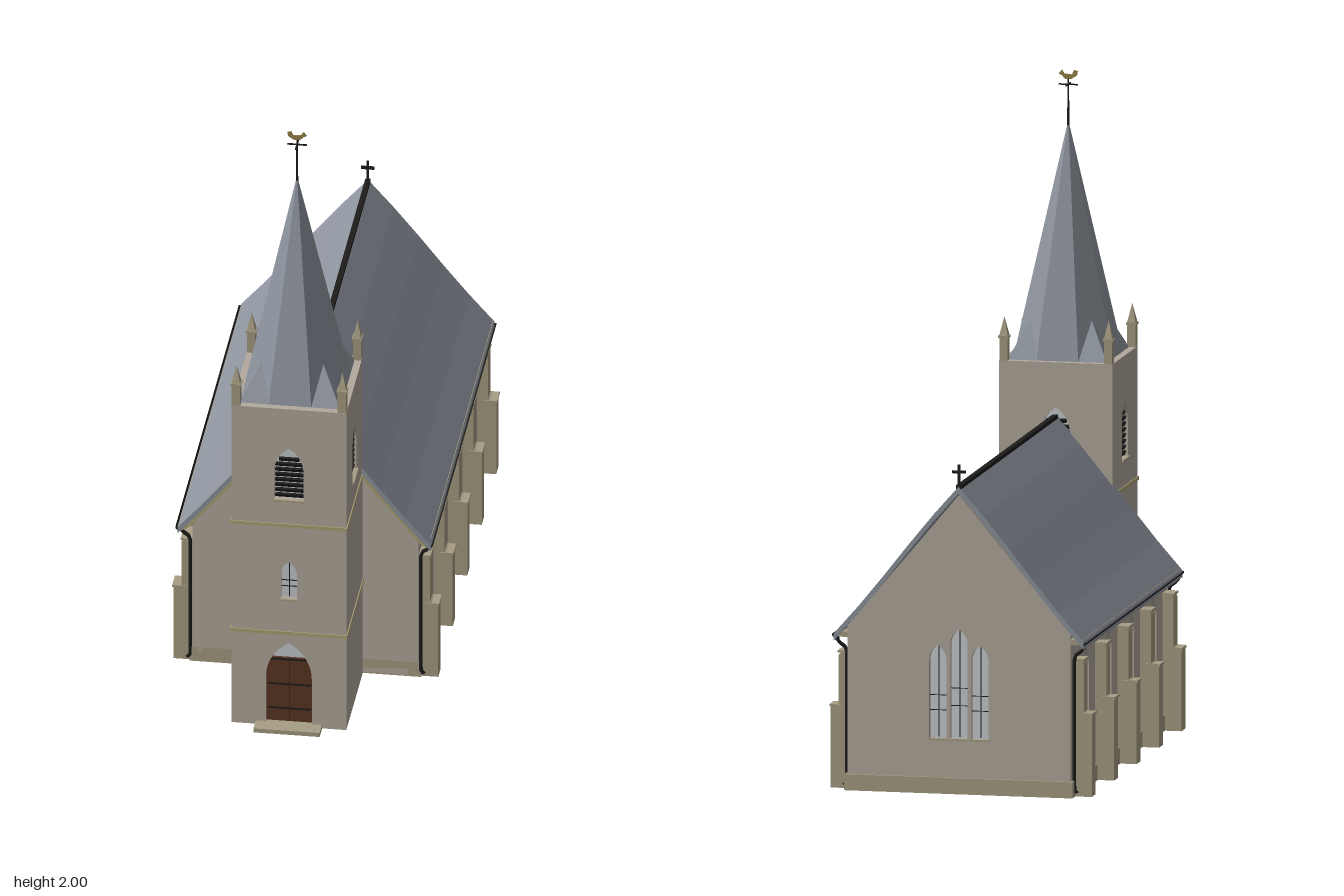
import * as THREE from 'three';

const mat = (color) => new THREE.MeshStandardMaterial({ color, side: THREE.DoubleSide });
const M = {
  wall: mat(0xb3aa9d), trim: mat(0xa79e84), band: mat(0xaea576), roof: mat(0x8f959f),
  glass: mat(0xc9ced2), dark: mat(0x1d1c1b), door: mat(0x5b3622), floor: mat(0x3a3430), gold: mat(0x9a8348),
};
const TZ = 0.6565, TW = 0.178;              // tower centre and half width
const ZF = 0.475, ZB = -0.88, HW = 0.35;    // nave front, back, half width
const ZC = (ZF + ZB) / 2, NL = ZF - ZB;

function add(parent, name, geo, material, x = 0, y = 0, z = 0) {
  const m = new THREE.Mesh(geo, material);
  m.name = name;
  m.position.set(x, y, z);
  parent.add(m);
  return m;
}
const box = (p, name, material, w, h, d, x, y, z) =>
  add(p, name, new THREE.BoxGeometry(w, h, d), material, x, y, z);

const poly = (pts) => new THREE.Shape(pts.map(([x, y]) => new THREE.Vector2(x, y)));
const extrude = (shape, depth) =>
  new THREE.ExtrudeGeometry(shape, { depth, bevelEnabled: false, curveSegments: 6 });

// Equilateral pointed arch
function lancet(x, w, y0, y1, C = THREE.Shape) {
  const s = new C(), ys = y1 - w * 0.866;
  s.moveTo(x - w / 2, y0);
  s.lineTo(x + w / 2, y0);
  s.lineTo(x + w / 2, ys);
  s.absarc(x - w / 2, ys, w, 0, Math.PI / 3, false);
  s.absarc(x + w / 2, ys, w, Math.PI * 2 / 3, Math.PI, false);
  s.closePath();
  return s;
}

// Wall whose outer face is local z = 0, with filled lancet openings
function face(parent, name, outline, openings, x, z, turn) {
  const g = new THREE.Group();
  g.name = name;
  g.position.set(x, 0, z);
  g.rotation.y = turn;
  parent.add(g);
  const s = poly(outline);
  for (const o of openings) s.holes.push(lancet(o.x, o.w, o.y0, o.y1, THREE.Path));
  add(g, 'wall', extrude(s, 0.03), M.wall, 0, 0, -0.03);
  for (const o of openings) {
    const h = o.y1 - o.y0;
    add(g, 'openingPane', new THREE.ShapeGeometry(lancet(o.x, o.w, o.y0, o.y1), 6), M.glass, 0, 0, -0.016);
    if (o.kind === 'louvre') {
      for (let i = 0; i < 8; i++) {
        const y = o.y0 + 0.012 + i * 0.018;
        box(g, 'louvre', M.dark, o.w * (i > 6 ? 0.7 : 0.96), 0.011, 0.008, o.x, y, -0.011).rotation.x = 0.4;
      }
    } else if (o.kind === 'door') {
      box(g, 'doorLeaf', M.door, o.w, 0.225, 0.008, o.x, 0.125, -0.014);
      for (const y of [0.06, 0.145, 0.232]) box(g, 'hinge', M.dark, o.w * 0.95, 0.005, 0.004, o.x, y, -0.009);
      box(g, 'doorSeam', M.dark, 0.002, 0.22, 0.004, o.x, 0.125, -0.009);
    } else {
      box(g, 'mullion', M.dark, 0.002, h * 0.97, 0.003, o.x, o.y0 + h / 2, -0.014);
      for (const t of [0.3, 0.46]) box(g, 'glazingBar', M.dark, o.w, 0.002, 0.003, o.x, o.y0 + h * t, -0.014);
    }
    if (o.kind !== 'door') box(g, 'sill', M.trim, o.w + 0.008, 0.006, 0.012, o.x, o.y0 - 0.002, 0);
  }
  return g;
}

// Octagonal spire with pyramidal corner broaches
function spireGeometry() {
  const r = 0.156, s = 0.066, y0 = 1.12, top = [0, 1.845, 0], p = [];
  for (let k = 0; k < 4; k++) {
    const c = Math.round(Math.cos(k * Math.PI / 2)), n = Math.round(Math.sin(k * Math.PI / 2));
    const at = (x, y, z) => [x * c + z * n, y, -x * n + z * c];
    const a = at(-s, y0, r), b = at(s, y0, r), corner = at(r, y0, r), d = at(r, y0, s), peak = at(0.095, 1.24, 0.095);
    p.push(a, b, top, b, d, top, b, corner, peak, corner, d, peak);
  }
  const g = new THREE.BufferGeometry();
  g.setAttribute('position', new THREE.Float32BufferAttribute(p.flat(), 3));
  g.computeVertexNormals();
  return g;
}

function buildTower(root) {
  const t = new THREE.Group();
  t.name = 'tower';
  root.add(t);
  const rect = [[-TW, 0.002], [TW, 0.002], [TW, 1.12], [-TW, 1.12]];
  const bell = { x: 0, w: 0.09, y0: 0.8, y1: 0.98, kind: 'louvre' };
  face(t, 'towerFront', rect, [bell, { x: 0, w: 0.05, y0: 0.45, y1: 0.58 },
    { x: 0, w: 0.142, y0: 0.012, y1: 0.295, kind: 'door' }], 0, TZ + TW, 0);
  face(t, 'towerLeft', rect, [bell], TW, TZ, Math.PI / 2);
  face(t, 'towerRight', rect, [bell], -TW, TZ, -Math.PI / 2);
  face(t, 'towerBack', rect, [bell], 0, TZ - TW, Math.PI);
  box(t, 'towerTop', M.trim, 0.35, 0.02, 0.35, 0, 1.109, TZ);
  box(t, 'towerFloor', M.floor, 0.3, 0.012, 0.3, 0, 0.006, TZ);
  box(t, 'doorStep', M.trim, 0.205, 0.014, 0.075, 0, 0.007, 0.8475);
  for (const y of [0.33, 0.71]) box(t, 'stringCourse', M.band, 0.362, 0.012, 0.362, 0, y, TZ);

  // Corner pinnacles
  for (const sx of [-1, 1]) for (const sz of [-1, 1]) {
    const x = sx * 0.164, z = TZ + sz * 0.164;
    box(t, 'pinnacleShaft', M.trim, 0.026, 0.085, 0.026, x, 1.1525, z);
    box(t, 'pinnacleCollar', M.trim, 0.032, 0.008, 0.032, x, 1.193, z);
    const c = new THREE.ConeGeometry(0.019, 0.06, 4).toNonIndexed();
    c.computeVertexNormals();
    add(t, 'pinnacleTip', c, M.trim, x, 1.226, z).rotation.y = Math.PI / 4;
  }
  add(t, 'spire', spireGeometry(), M.roof, 0, 0, TZ);

  // Finial with cross arms and weather vane
  add(t, 'finialRod', new THREE.CylinderGeometry(0.002, 0.004, 0.16, 8), M.dark, 0, 1.905, TZ);
  box(t, 'finialArm', M.dark, 0.06, 0.004, 0.004, 0, 1.955, TZ);
  box(t, 'finialArm', M.dark, 0.004, 0.004, 0.06, 0, 1.955, TZ);
  const vane = poly([[-0.03, 1.997], [-0.027, 1.983], [-0.01, 1.972], [0.01, 1.972], [0.02, 1.983],
    [0.03, 1.987], [0.02, 2], [0.012, 1.988], [-0.012, 1.986], [-0.018, 2]]);
  add(t, 'weatherVane', extrude(vane, 0.004), M.gold, 0, 0, TZ - 0.002);
}

function buildNave(root) {
  const n = new THREE.Group();
  n.name = 'nave';
  root.add(n);
  const gable = [[-HW, 0.004], [HW, 0.004], [HW, 0.51], [0, 0.928], [-HW, 0.51]];
  const side = [[-NL / 2, 0.004], [NL / 2, 0.004], [NL / 2, 0.51], [-NL / 2, 0.51]];
  face(n, 'frontGable', gable, [], 0, ZF, 0);
  face(n, 'backGable', gable, [-1, 0, 1].map((i) =>
    ({ x: i * 0.066, w: 0.054, y0: 0.17, y1: i ? 0.46 : 0.51 })), 0, ZB, Math.PI);
  for (const s of [-1, 1]) {
    const windows = [0.285, -0.03, -0.345, -0.66].map((z) =>
      ({ x: -s * (z - ZC), w: 0.085, y0: 0.16, y1: 0.44 }));
    face(n, 'sideWall', side, windows, s * HW, ZC, s * Math.PI / 2);
  }

  // Plinth frame around a dark floor
  for (const s of [-1, 1]) box(n, 'plinth', M.trim, 0.04, 0.05, NL + 0.008, s * 0.338, 0.025, ZC - 0.004);
  box(n, 'plinth', M.trim, 0.716, 0.05, 0.04, 0, 0.025, ZB + 0.012);
  box(n, 'plinth', M.trim, 0.7, 0.05, 0.04, 0, 0.025, ZF - 0.02);
  box(n, 'floor', M.floor, 0.66, 0.02, NL - 0.04, 0, 0.014, ZC);

  // Stepped buttresses with sloping heads
  const profile = poly([[0.34, 0], [0.41, 0], [0.41, 0.25], [0.385, 0.262], [0.385, 0.412], [0.375, 0.425], [0.34, 0.425]]);
  for (const z of [0.44, 0.125, -0.19, -0.505, -0.82]) for (const s of [0, 1]) {
    const b = add(n, 'buttress', extrude(profile, 0.054), M.trim, 0, 0, z + (s ? 0.027 : -0.027));
    b.rotation.y = s * Math.PI;
    for (const [x, y] of [[0.39, 0.256], [0.364, 0.424]])
      box(n, 'buttressCap', M.trim, 0.046, 0.007, 0.06, s ? -x : x, y, z);
  }

  // Gently faceted roof
  const outer = [], N = 5;
  for (let i = -N; i <= N; i++) {
    const t = Math.abs(i) / N;
    outer.push([i / N * 0.392, 0.955 - 0.47 * t + 0.005 * Math.sin(t * Math.PI * 2)]);
  }
  const inner = outer.map(([x, y]) => [x, y - 0.022]).reverse();
  add(n, 'roof', extrude(poly([...outer, ...inner]), 1.39), M.roof, 0, 0, -0.885);
  box(n, 'ridge', M.dark, 0.016, 0.012, 1.36, 0, 0.953, -0.205);

  // Verge boards, gutters and downpipes
  for (const s of [-1, 1]) {
    const board = poly([[s * 0.385, 0.47], [s * 0.36, 0.482], [0, 0.912], [0, 0.935]]);
    add(n, 'vergeBoard', extrude(board, 0.02), M.band, 0, 0, 0.48);
    box(n, 'soffit', M.trim, 0.045, 0.016, NL, s * 0.366, 0.483, ZC);
    const gutter = new THREE.CylinderGeometry(0.011, 0.011, 1.38, 8, 1, false, -Math.PI / 2, Math.PI);
    add(n, 'gutter', gutter, M.dark, s * 0.388, 0.483, -0.19).rotation.x = Math.PI / 2;
    for (const z of [0.472, -0.855]) {
      const path = new THREE.CatmullRomCurve3([[0.386, 0.478], [0.386, 0.458], [0.359, 0.438], [0.357, 0.41], [0.357, 0.03], [0.366, 0.012]]
        .map(([x, y]) => new THREE.Vector3(s * x, y, z)), false, 'catmullrom', 0.2);
      add(n, 'downpipe', new THREE.TubeGeometry(path, 30, 0.006, 6), M.dark);
    }
  }

  // Cross on the rear gable
  box(n, 'gableCross', M.dark, 0.008, 0.075, 0.008, 0, 0.985, -0.88);
  box(n, 'gableCrossArm', M.dark, 0.042, 0.008, 0.008, 0, 1.0, -0.88);
}

export function createModel() {
  const root = new THREE.Group();
  root.name = 'church';
  buildTower(root);
  buildNave(root);
  return root;
}
